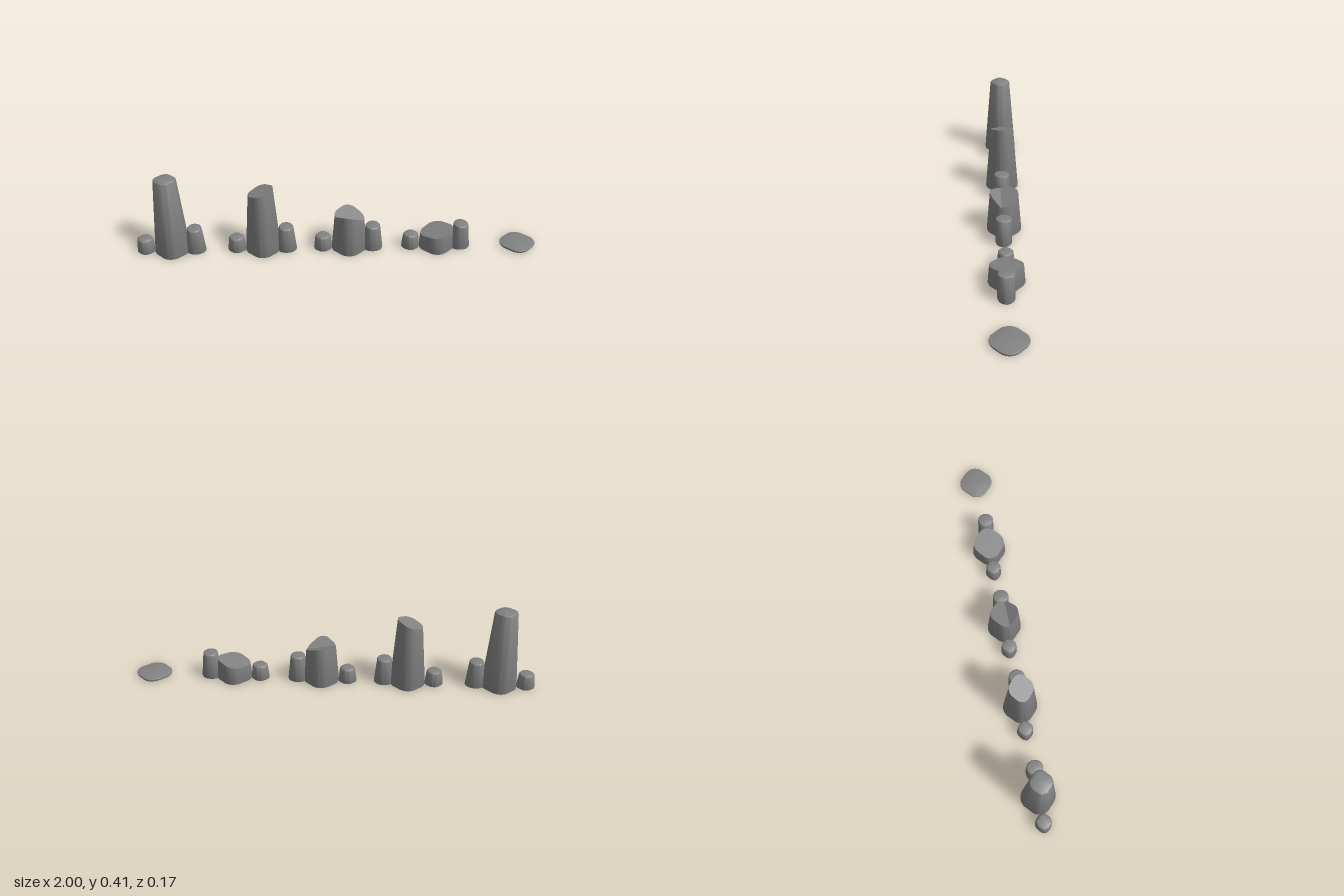
import * as THREE from 'three';
import { mergeVertices, toCreasedNormals } from 'three/addons/utils/BufferGeometryUtils.js';

const SIDES = 64;
const material = new THREE.MeshStandardMaterial({ color: 0x828282 });

// Closed smooth footprint from one quadrant of [x, z] points, mirrored both ways
function footprint(quadrant) {
  const q = quadrant.map(([x, z]) => new THREE.Vector3(x, 0, z));
  const flip = (list, sx, sz) => list.map((p) => new THREE.Vector3(p.x * sx, 0, p.z * sz));
  const loop = [
    ...q,
    ...flip(q.slice(0, -1).reverse(), -1, 1),
    ...flip(q.slice(1), -1, -1),
    ...flip(q.slice(1, -1).reverse(), 1, -1),
  ];
  return new THREE.CatmullRomCurve3(loop, true).getPoints(SIDES).slice(0, SIDES);
}

// Rounded diamonds for the main and short columns, a fuller oval for the tall one
const mainShape = footprint([[0.088, 0], [0.08, 0.03], [0.055, 0.056], [0.028, 0.079], [0, 0.086]]);
const shortShape = footprint([[0.046, 0], [0.041, 0.015], [0.029, 0.027], [0.015, 0.037], [0, 0.04]]);
const tallShape = footprint([[0.051, 0], [0.045, 0.018], [0.03, 0.033], [0, 0.041]]);

// Tapered stone column. top(x, z) gives the height of the cut;
// taperX / taperZ are the shrink per unit of height, valleyZ the centre of the top fan.
function column(name, outline, top, { taperX, taperZ, bevel = 0, foot = 0.006, valleyZ = 0 }) {
  const positions = [];
  const index = [];
  const ring = (yOf, inset) => {
    for (const p of outline) {
      const k = 1 - inset / Math.hypot(p.x, p.z);
      let x = p.x, z = p.z, y = 0;
      for (let n = 0; n < 4; n++) {
        y = yOf(top(x, z));
        x = p.x * k * (1 - taperX * y);
        z = p.z * k * (1 - taperZ * y);
      }
      positions.push(x, y, z);
    }
  };
  // rounded foot, then the wall up to the cut
  ring(() => 0, foot);
  ring(() => foot * 0.3, foot * 0.3);
  ring(() => foot, 0);
  ring((h) => h - bevel, 0);
  let rings = 4;
  if (bevel) {
    for (const a of [30, 60, 90]) {
      const r = THREE.MathUtils.degToRad(a);
      ring((h) => h - bevel * (1 - Math.sin(r)), bevel * (1 - Math.cos(r)));
      rings++;
    }
  }
  for (let j = 0; j < rings - 1; j++) {
    for (let i = 0; i < SIDES; i++) {
      const n = (i + 1) % SIDES;
      const a = j * SIDES + i, b = j * SIDES + n, c = a + SIDES, d = b + SIDES;
      index.push(a, c, b, b, c, d);
    }
  }
  // bottom and top caps
  const bottom = rings * SIDES;
  positions.push(0, 0, 0, 0, top(0, valleyZ), valleyZ);
  const last = (rings - 1) * SIDES;
  for (let i = 0; i < SIDES; i++) {
    const n = (i + 1) % SIDES;
    index.push(bottom, i, n, bottom + 1, last + n, last + i);
  }
  const geometry = new THREE.BufferGeometry();
  geometry.setAttribute('position', new THREE.Float32BufferAttribute(positions, 3));
  geometry.setIndex(index);
  const mesh = new THREE.Mesh(toCreasedNormals(mergeVertices(geometry), 0.6), material);
  mesh.name = name;
  return mesh;
}

export function createModel() {
  const group = new THREE.Group();
  const taper = { taperX: 0.9, taperZ: 0.95 };

  // Successive stages of wear, from whole pillar to low stump
  const valley = 0.015;
  const stages = [
    { name: 'wholePillar', x: -0.823, top: () => 0.415, bevel: 0.01 },
    { name: 'slantedPillar', x: -0.37, top: (x) => 0.34 + 0.33 * x },
    {
      name: 'notchedPillar', x: 0.06, valleyZ: valley,
      top: (x, z) => 0.179 - 0.17 * x + (z > valley ? 0.65 : 0.37) * Math.abs(z - valley),
    },
    { name: 'stumpPillar', x: 0.499, top: (x) => 0.096 + 0.18 * x },
  ];

  for (const s of stages) {
    const cluster = new THREE.Group();
    cluster.name = s.name;
    cluster.position.x = s.x;

    cluster.add(column('mainColumn', mainShape, s.top, { ...taper, bevel: s.bevel, valleyZ: s.valleyZ }));

    // short column on one side, taller one on the other
    const short = column('shortSideColumn', shortShape, () => 0.08, { taperX: 2.4, taperZ: 1.2, bevel: 0.009 });
    short.position.x = -0.131;
    const tall = column('tallSideColumn', tallShape, () => 0.137, { taperX: 2.2, taperZ: 0.3, bevel: 0.006 });
    tall.position.set(0.117, 0, 0.004);
    cluster.add(short, tall);
    group.add(cluster);
  }

  // Loose flat base slab
  const slab = column('baseSlab', mainShape, () => 0.016, { taperX: 0, taperZ: 0, bevel: 0.002, foot: 0.011 });
  slab.position.x = 0.911;
  group.add(slab);

  return group;
}
